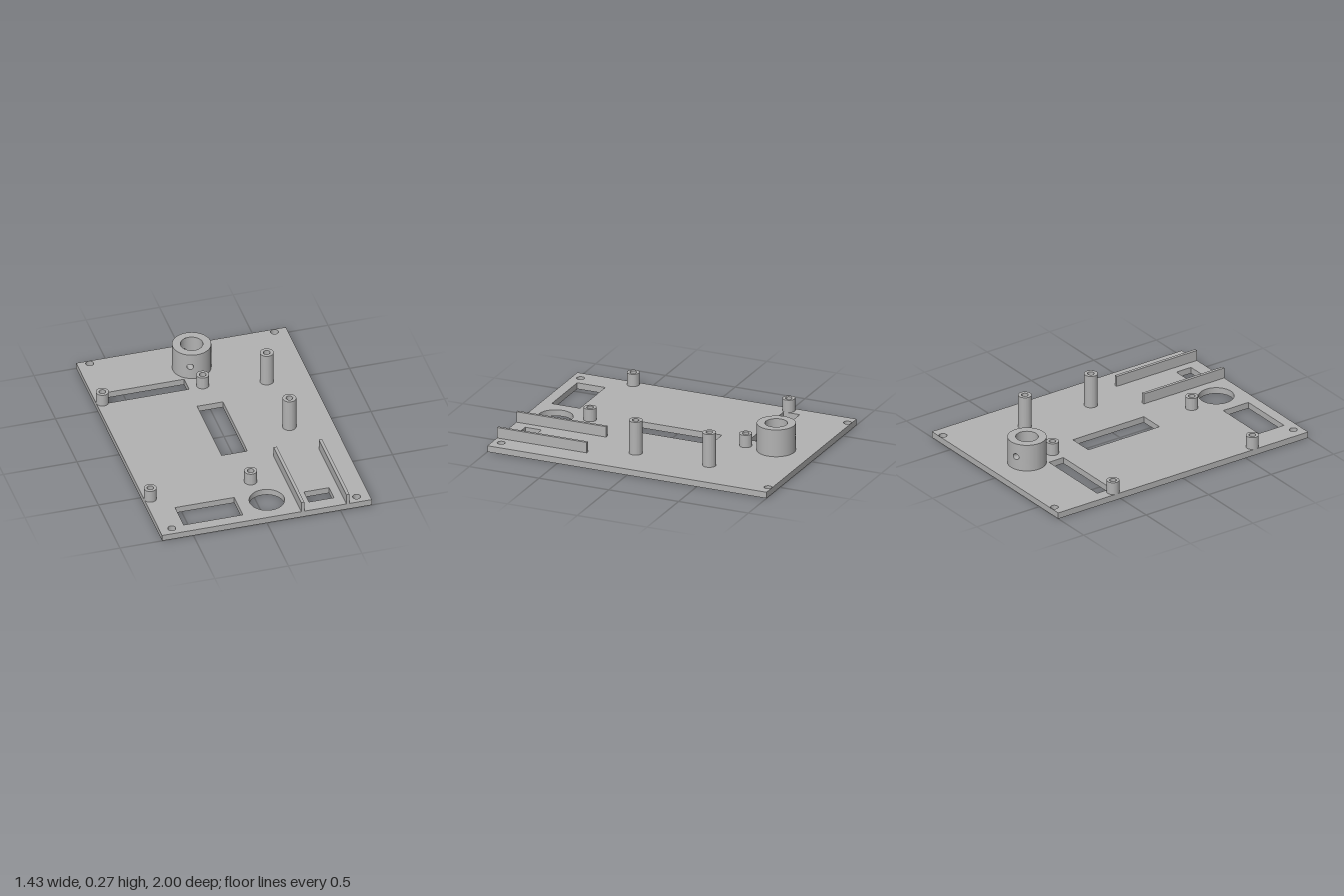
import * as THREE from 'three';
import { toCreasedNormals } from 'three/addons/utils/BufferGeometryUtils.js';

const PLATE_T = 0.043;

export function createModel() {
  const root = new THREE.Group();
  root.name = 'mountingPanel';
  const grey = new THREE.MeshStandardMaterial({ color: 0xb2b2b2, side: THREE.DoubleSide });
  grey.name = 'plain grey';

  const add = (name, geo, parent = root) => {
    const mesh = new THREE.Mesh(geo, grey);
    mesh.name = name;
    parent.add(mesh);
    return mesh;
  };

  // Outlines are drawn in plan: (x, -z)
  const rect = (P, x0, x1, z0, z1) => {
    const p = new P();
    p.moveTo(x0, -z1);
    p.lineTo(x1, -z1);
    p.lineTo(x1, -z0);
    p.lineTo(x0, -z0);
    p.closePath();
    return p;
  };
  const circle = (P, x, z, r) => new P().absarc(x, -z, r, 0, Math.PI * 2, false);
  const extrudeUp = (shape, y0, y1) => {
    const g = new THREE.ExtrudeGeometry(shape, { depth: y1 - y0, bevelEnabled: false, curveSegments: 40 });
    g.rotateX(-Math.PI / 2);
    g.translate(0, y0, 0);
    return toCreasedNormals(g, 0.5);
  };

  // Base plate with its cut-outs
  const plate = rect(THREE.Shape, -0.713, 0.713, -1, 1);
  for (const [x0, x1, z0, z1] of [
    [-0.63, -0.087, -0.63, -0.515],
    [-0.09, 0.085, -0.317, 0.252],
    [-0.545, -0.143, 0.725, 0.926],
    [0.312, 0.482, 0.794, 0.91],
  ]) plate.holes.push(rect(THREE.Path, x0, x1, z0, z1));
  plate.holes.push(circle(THREE.Path, 0.055, 0.81, 0.116));
  for (const x of [-0.63, 0.627])
    for (const z of [-0.972, 0.94]) plate.holes.push(circle(THREE.Path, x, z, 0.026));
  add('basePlate', extrudeUp(plate, 0, PLATE_T));

  // Hollow standoffs: four short, two tall
  const standoff = (name, x, z, r, top) => {
    const s = circle(THREE.Shape, x, z, r);
    s.holes.push(circle(THREE.Path, x, z, 0.022));
    add(name, extrudeUp(s, PLATE_T, top));
  };
  for (const x of [-0.672, 0.011])
    for (const z of [-0.533, 0.582]) standoff('shortStandoff', x, z, 0.042, 0.129);
  for (const z of [-0.46, 0.068]) standoff('tallStandoff', 0.425, z, 0.045, 0.273);

  // Guide rails
  for (const x of [0.244, 0.551])
    add('guideRail', extrudeUp(rect(THREE.Shape, x - 0.0105, x + 0.0105, 0.357, 1), PLATE_T, 0.116));

  // Round collar with an off-centre cross hole from front to back
  const collar = new THREE.Group();
  collar.name = 'collar';
  collar.position.set(-0.002, 0, -0.746);
  root.add(collar);
  const RO = 0.128, RI = 0.074, TOP = 0.231;
  const HX = -0.044, HY = 0.137, HR = 0.021;
  const deg = Math.PI / 180, A0 = -85 * deg, A1 = 5 * deg;

  // Surface through a grid of points, rows by columns
  const gridSurface = (rows) => {
    const n = rows[0].length, index = [];
    for (let i = 0; i < rows.length - 1; i++)
      for (let j = 0; j < n; j++) {
        const k = (j + 1) % n, a = i * n, b = a + n;
        index.push(a + j, a + k, b + k, a + j, b + k, b + j);
      }
    const g = new THREE.BufferGeometry();
    g.setAttribute('position', new THREE.Float32BufferAttribute(rows.flat(2), 3));
    g.setIndex(index);
    g.computeVertexNormals();
    return g;
  };

  // Border of the pierced wall patch, as fractions of its width and height
  const border = [];
  const SIDE = 14;
  for (let s = 0; s < 4; s++)
    for (let i = 0; i < SIDE; i++) {
      const t = i / SIDE;
      border.push([[t, 0], [1, t], [1 - t, 1], [0, 1 - t]][s]);
    }
  const holeAngles = border.map(([u, v]) =>
    Math.atan2(PLATE_T + v * (TOP - PLATE_T) - HY, (u - 0.5) * 0.2));

  // Wall patch blending from the round hole out to the border
  const piercedPatch = (R, zSign) => {
    const rows = [];
    for (let i = 0; i <= 8; i++) {
      const t = i / 8;
      rows.push(border.map(([u, v], j) => {
        const hx = HX + HR * Math.cos(holeAngles[j]);
        const hy = HY + HR * Math.sin(holeAngles[j]);
        const a = THREE.MathUtils.lerp(Math.asin(hx / R), A0 + u * (A1 - A0), t);
        const y = THREE.MathUtils.lerp(hy, PLATE_T + v * (TOP - PLATE_T), t);
        return [R * Math.sin(a), y, zSign * R * Math.cos(a)];
      }));
    }
    return gridSurface(rows);
  };

  // Plain arcs and pierced patches of the outer wall and the bore
  for (const [name, R] of [['collarWall', RO], ['collarBore', RI]]) {
    for (const [start, len] of [[5, 170], [265, 10]]) {
      const g = new THREE.CylinderGeometry(R, R, TOP - PLATE_T, Math.ceil(len / 5), 1, true, start * deg, len * deg);
      g.translate(0, (TOP + PLATE_T) / 2, 0);
      add(name, g, collar);
    }
    for (const s of [1, -1]) add(name, piercedPatch(R, s), collar);
  }

  // Lining of the cross hole through each wall
  for (const s of [1, -1])
    add('crossHole', gridSurface([RO, RI].map((R) => holeAngles.map((a) => {
      const x = HX + HR * Math.cos(a);
      return [x, HY + HR * Math.sin(a), s * Math.sqrt(R * R - x * x)];
    }))), collar);

  // Top rim
  const rim = new THREE.RingGeometry(RI, RO, 72);
  rim.rotateX(-Math.PI / 2);
  rim.translate(0, TOP, 0);
  add('collarRim', rim, collar);

  return root;
}
